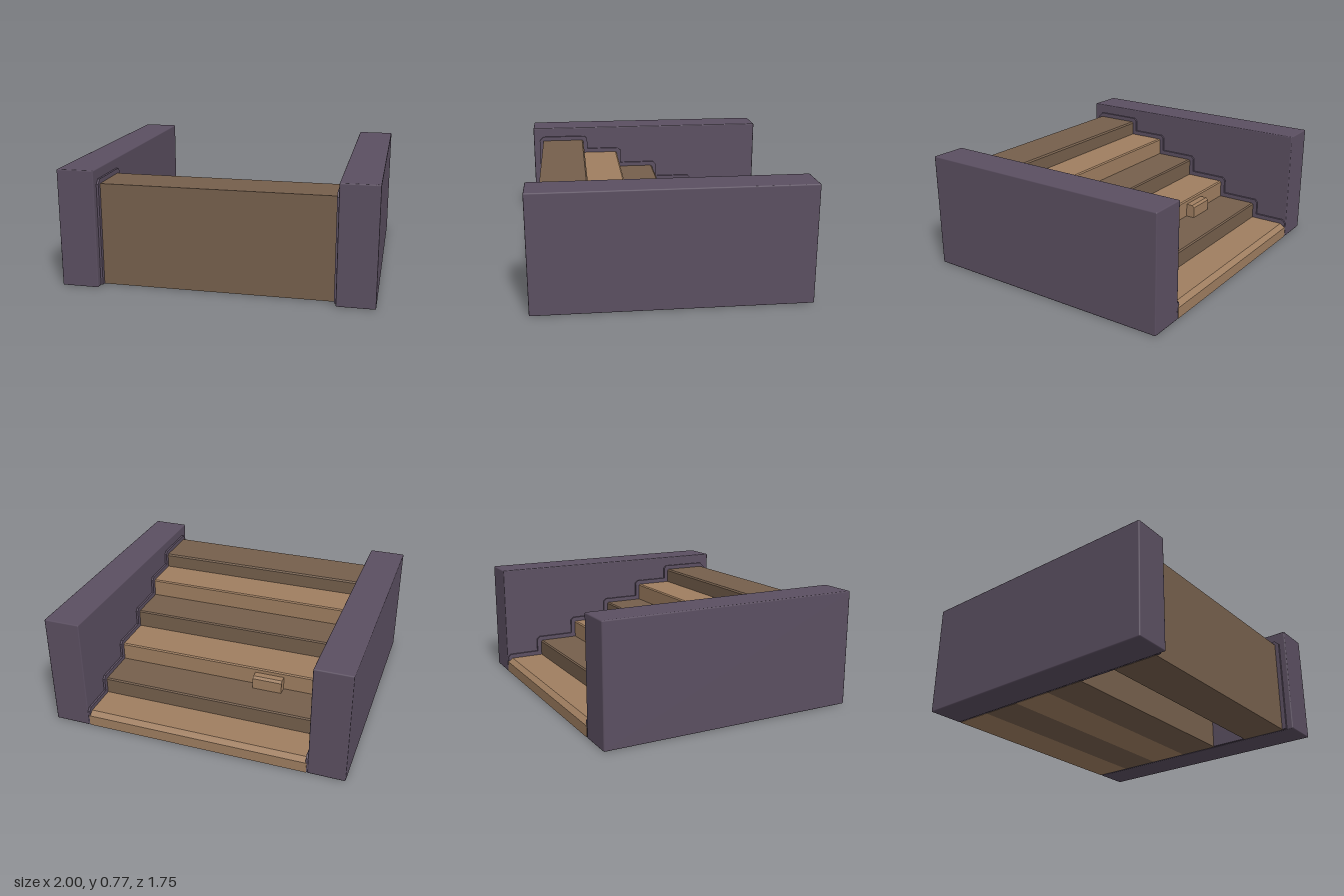
import * as THREE from 'three';
import { RoundedBoxGeometry } from 'three/addons/geometries/RoundedBoxGeometry.js';

const material = (name, color) => {
  const m = new THREE.MeshStandardMaterial({ color });
  m.name = name;
  return m;
};

// Extrudes a [z, y] outline along x, from x0 to x1
function extrudeAlongX(points, x0, x1) {
  const shape = new THREE.Shape(points.map(([z, y]) => new THREE.Vector2(z, y)));
  const geo = new THREE.ExtrudeGeometry(shape, { depth: x1 - x0, bevelEnabled: false });
  return geo.rotateY(-Math.PI / 2).translate(x1, 0, 0);
}

export function createModel() {
  const group = new THREE.Group();
  const stone = material('purple stone', 0x5b4f61);
  const light = material('light wood', 0x9f7e60);
  const dark = material('dark wood', 0x755f4c);

  const add = (name, geo, mat) => {
    const mesh = new THREE.Mesh(geo, mat);
    mesh.name = name;
    group.add(mesh);
    return mesh;
  };

  // Step edges from the low back to the high front, and the tread heights
  const edges = [-0.875, -0.61, -0.33, -0.05, 0.23, 0.49, 0.8];
  const tops = [0.1, 0.21, 0.33, 0.45, 0.57, 0.67];
  const half = 0.75;

  // Four lower steps reach the ground; the fifth is a floating board
  for (let i = 0; i < 5; i++) {
    const z0 = edges[i], z1 = edges[i + 1], top = tops[i];
    const bottom = i < 4 ? 0.003 : 0.44;
    const c = i === 0 ? 0.035 : 0.01;
    const outline = [[z0, bottom], [z1, bottom], [z1, top], [z0 + c, top], [z0, top - c * 0.7]];
    add('step' + (i + 1), extrudeAlongX(outline, -half, half), i % 2 ? dark : light);
  }

  // Top step: hollow, open towards the back, with front panel and floor plate
  add('topStep', extrudeAlongX([
    [0.49, 0.003], [0.8, 0.003], [0.8, 0.67], [0.5, 0.67], [0.49, 0.66],
    [0.49, 0.55], [0.78, 0.55], [0.78, 0.02], [0.49, 0.02],
  ], -half, half), dark);

  // Small chip of wood under the third tread
  add('woodChip', extrudeAlongX(
    [[-0.39, 0.2], [-0.32, 0.2], [-0.32, 0.3], [-0.375, 0.3], [-0.39, 0.285]],
    -0.44, -0.24), light);

  // Side walls with stepped trims hugging the stairs
  const lip = 0.03;
  const trim = [[0.83, 0.005], [0.83, 0.67], [0.8, 0.7]];
  for (let i = 5; i >= 0; i--) {
    const z = Math.max(edges[i] - lip, -0.872);
    trim.push([z + 0.02, tops[i] + lip], [z, tops[i] + lip - 0.02]);
    if (i > 0) trim.push([z, tops[i - 1] + lip]);
  }
  trim.push([-0.872, 0.005]);

  for (const [side, s] of [['left', 1], ['right', -1]]) {
    const wall = add(side + 'Wall', new RoundedBoxGeometry(0.242, 0.767, 1.75, 1, 0.008), stone);
    wall.position.set(s * 0.879, 0.3835, 0);
    const [a, b] = s > 0 ? [0.744, 0.77] : [-0.77, -0.744];
    add(side + 'Trim', extrudeAlongX(trim, a, b), stone);
  }

  return group;
}
